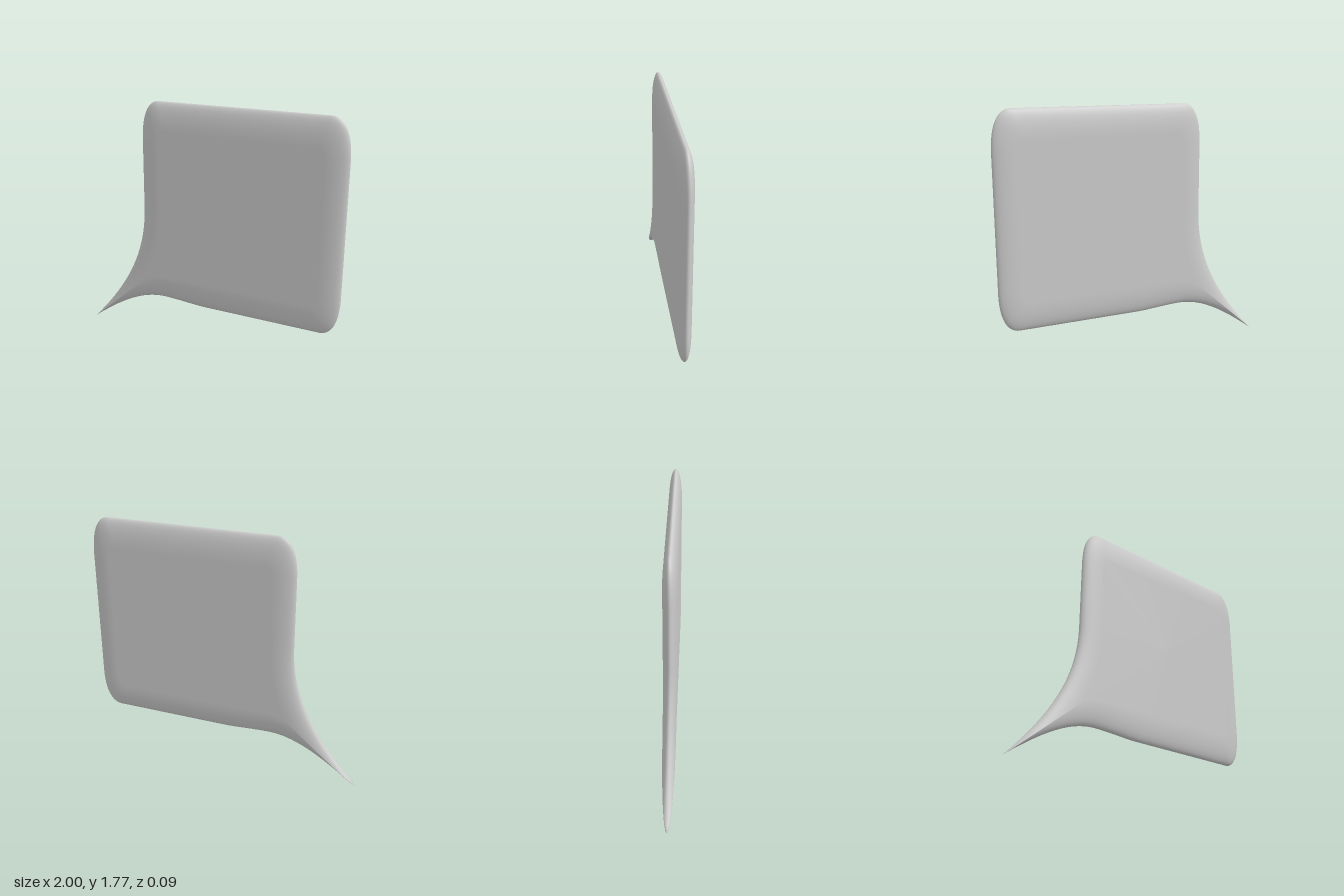
import * as THREE from 'three';

const HALF = 0.047; // half thickness
const RINGS = 24;   // steps of the rounded rim, back to front

// two points make a line, four make a cubic curve
function curve(pts) {
  const v = pts.map(([x, y]) => new THREE.Vector2(x, y));
  return v.length === 2 ? new THREE.LineCurve(...v) : new THREE.CubicBezierCurve(...v);
}

// Counter-clockwise sections: [outer silhouette, edge of the flat face, samples]
const SECTIONS = [
  // underside of the tail
  [[[-1, 0.005], [-0.75, 0.19], [-0.55, 0.31], [-0.35, 0.308]],
    [[-0.48, 0.45], [-0.42, 0.48], [-0.36, 0.49], [-0.28, 0.49]], 40],
  [[[-0.35, 0.308], [-0.2, 0.305], [-0.1, 0.29], [0, 0.29]],
    [[-0.28, 0.49], [-0.18, 0.49], [-0.08, 0.49], [0, 0.49]], 16],
  // bottom edge and corner
  [[[0, 0.29], [0.86, 0.29]], [[0, 0.49], [0.8, 0.49]], 10],
  [[[0.86, 0.29], [0.93, 0.29], [0.99, 0.36], [0.995, 0.55]],
    [[0.8, 0.49], [0.82, 0.49], [0.845, 0.52], [0.845, 0.58]], 20],
  // side edge and upper corner
  [[[0.995, 0.55], [0.995, 1.515]], [[0.845, 0.58], [0.845, 1.485]], 10],
  [[[0.995, 1.515], [0.99, 1.705], [0.93, 1.775], [0.86, 1.775]],
    [[0.845, 1.485], [0.845, 1.545], [0.82, 1.575], [0.8, 1.575]], 20],
  // top edge and second upper corner
  [[[0.86, 1.775], [-0.37, 1.775]], [[0.8, 1.575], [-0.31, 1.575]], 12],
  [[[-0.37, 1.775], [-0.44, 1.775], [-0.5, 1.705], [-0.505, 1.515]],
    [[-0.31, 1.575], [-0.33, 1.575], [-0.355, 1.545], [-0.355, 1.485]], 20],
  // other side edge, sweeping down into the tail
  [[[-0.505, 1.515], [-0.508, 1]], [[-0.355, 1.485], [-0.358, 1]], 8],
  [[[-0.508, 1], [-0.51, 0.65], [-0.66, 0.36], [-1, 0.005]],
    [[-0.358, 1], [-0.36, 0.75], [-0.41, 0.57], [-0.48, 0.45]], 48],
];

function bubbleGeometry() {
  const outer = [], inner = [];
  for (const [p, q, n] of SECTIONS) {
    const a = curve(p), b = curve(q);
    for (let i = 0; i < n; i++) {
      outer.push(a.getPoint(i / n));
      inner.push(b.getPoint(i / n));
    }
  }

  const count = outer.length, pos = [], index = [];
  // rim: a half-elliptical section from the back face round to the front face
  for (let j = 0; j <= RINGS; j++) {
    const angle = (j / RINGS - 0.5) * Math.PI;
    for (let i = 0; i < count; i++) {
      const p = outer[i].clone().lerp(inner[i], 1 - Math.cos(angle));
      pos.push(p.x, p.y, HALF * Math.sin(angle));
    }
  }
  for (let j = 0; j < RINGS; j++) {
    for (let i = 0; i < count; i++) {
      const k = (i + 1) % count;
      const a = j * count + i, b = j * count + k, c = b + count, d = a + count;
      index.push(a, b, c, a, c, d);
    }
  }
  // flat faces fan out from the centre
  const back = pos.length / 3, front = back + 1, last = RINGS * count;
  pos.push(0.25, 1.03, -HALF, 0.25, 1.03, HALF);
  for (let i = 0; i < count; i++) {
    const k = (i + 1) % count;
    index.push(back, k, i, front, last + i, last + k);
  }

  const g = new THREE.BufferGeometry();
  g.setAttribute('position', new THREE.Float32BufferAttribute(pos, 3));
  g.setIndex(index);
  g.computeVertexNormals();
  return g;
}

export function createModel() {
  const group = new THREE.Group();
  group.name = 'speechBubble';
  const body = new THREE.Mesh(bubbleGeometry(), new THREE.MeshStandardMaterial({ color: 0xcccccc }));
  body.name = 'bubbleWithTail';
  group.add(body);
  return group;
}
